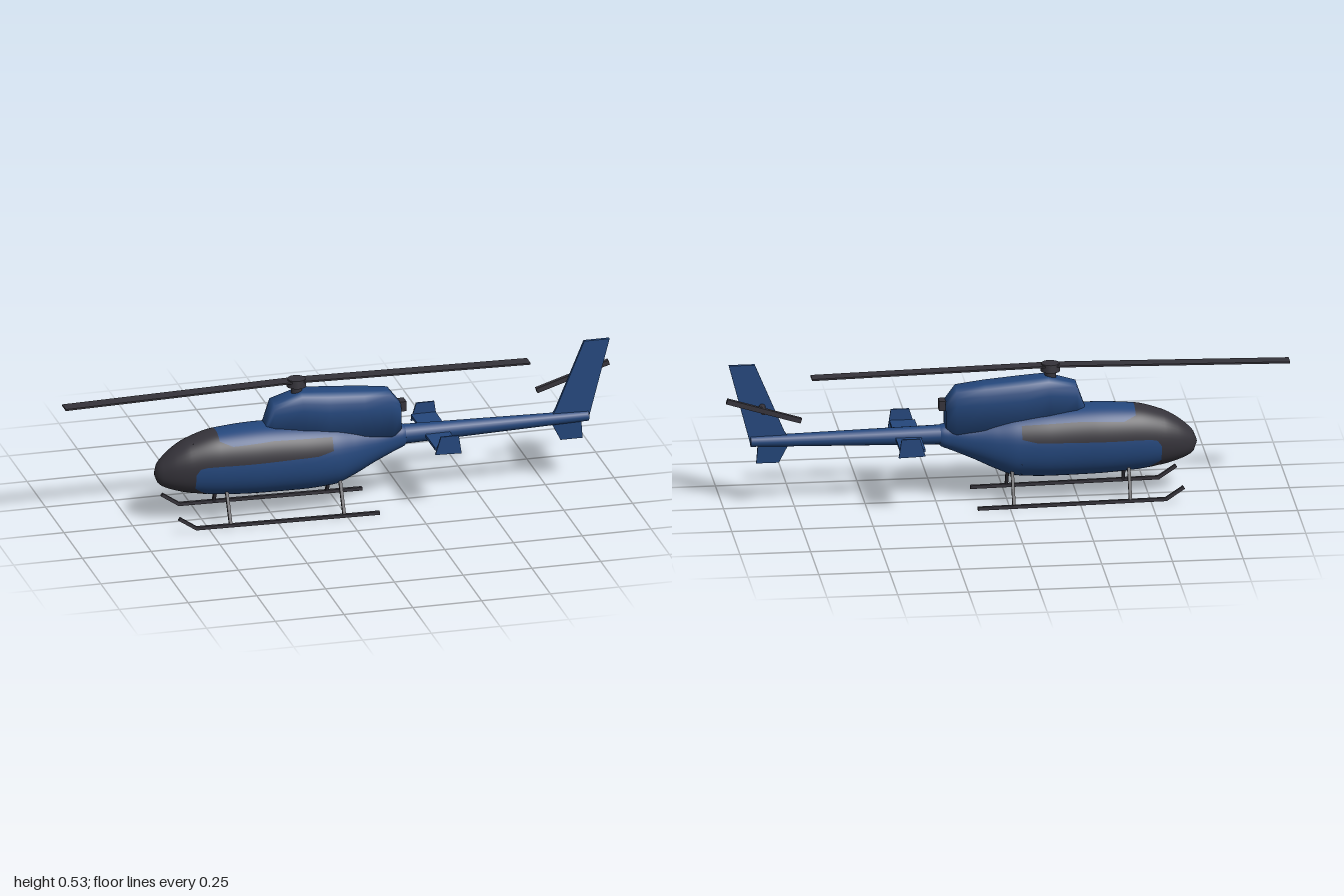
import * as THREE from 'three';

const blue = new THREE.MeshStandardMaterial({ color: 0x24477c, side: THREE.DoubleSide });
blue.name = 'blue paint';
const dark = new THREE.MeshStandardMaterial({ color: 0x35333a, side: THREE.DoubleSide });
dark.name = 'dark grey';

// Fuselage stations: x, bottom, top, half width (nose points to -x)
const HULL = [
  [-0.672, 0.185, 0.195, 0.004], [-0.665, 0.162, 0.218, 0.024], [-0.645, 0.143, 0.243, 0.042],
  [-0.6, 0.125, 0.28, 0.065], [-0.55, 0.112, 0.307, 0.08], [-0.45, 0.097, 0.334, 0.097],
  [-0.3, 0.088, 0.342, 0.107], [-0.15, 0.086, 0.336, 0.107], [-0.03, 0.092, 0.325, 0.1],
  [0.04, 0.118, 0.312, 0.086], [0.12, 0.157, 0.297, 0.064], [0.2, 0.192, 0.288, 0.044],
  [0.235, 0.207, 0.283, 0.036], [0.245, 0.22, 0.27, 0.022],
];
// Paint edges: x, top of dark belly, bottom of glass, top of glass
const PAINT = [
  [-0.672, 0, 0, 0.5], [-0.54, 0, 0, 0.5], [-0.54, 0.145, 0.2, 0.5], [-0.525, 0.133, 0.222, 0.5],
  [-0.5, 0.118, 0.228, 0.5], [-0.475, 0.09, 0.229, 0.5], [-0.45, 0.05, 0.23, 0.5],
  [-0.45, 0.05, 0.23, 0.312], [-0.405, 0, 0.23, 0.295], [-0.26, 0, 0.232, 0.302],
  [-0.1, 0, 0.235, 0.296], [-0.045, 0, 0.248, 0.293], [-0.045, 0, 0.27, 0.27], [0.245, 0, 0.245, 0.245],
];
const POWER = 0.9;
const bulge = (v) => Math.sign(v) * Math.abs(v) ** POWER;

// Smooth interpolation through the stations
function station(x) {
  let i = 0;
  while (i < HULL.length - 2 && x > HULL[i + 1][0]) i++;
  const a = HULL[i], b = HULL[i + 1], h = b[0] - a[0];
  const t = THREE.MathUtils.clamp((x - a[0]) / h, 0, 1);
  const slope = (k, c) => {
    const p = HULL[Math.max(k - 1, 0)], m = HULL[k], n = HULL[Math.min(k + 1, HULL.length - 1)];
    if (p === m) return (n[c] - m[c]) / (n[0] - m[0]);
    if (n === m) return (m[c] - p[c]) / (m[0] - p[0]);
    const d0 = (m[c] - p[c]) / (m[0] - p[0]), d1 = (n[c] - m[c]) / (n[0] - m[0]);
    return d0 * d1 <= 0 ? 0 : (2 * d0 * d1) / (d0 + d1);
  };
  return [1, 2, 3].map((c) =>
    a[c] * (1 + 2 * t) * (1 - t) ** 2 + b[c] * t * t * (3 - 2 * t) +
    h * (slope(i, c) * t * (1 - t) ** 2 + slope(i + 1, c) * t * t * (t - 1)));
}
// Point on the hull; the angle runs from belly (0) to roof (PI)
function hullPoint(x, a) {
  const [lo, hi, w] = station(x);
  return new THREE.Vector3(x, (lo + hi) / 2 - (hi - lo) / 2 * bulge(Math.cos(a)), w * bulge(Math.sin(a)));
}
function angleAt(x, y) {
  const [lo, hi] = station(x);
  const c = THREE.MathUtils.clamp(((lo + hi) / 2 - y) / ((hi - lo) / 2), -1, 1);
  return Math.acos(Math.sign(c) * Math.abs(c) ** (1 / POWER));
}

// One paint band of the hull on one side
function hullBand(band, steps, side) {
  const pos = [], nor = [], index = [], e = 0.002;
  for (let k = 0; k < PAINT.length - 1; k++) {
    const A = PAINT[k], B = PAINT[k + 1];
    if (A[0] === B[0]) continue;
    const n = Math.ceil((B[0] - A[0]) / 0.012), start = pos.length / 3;
    for (let i = 0; i <= n; i++) {
      const [x, ...ys] = A.map((v, c) => THREE.MathUtils.lerp(v, B[c], i / n));
      const edges = [0, ...ys.map((y) => angleAt(x, y)), Math.PI];
      for (let j = 0; j <= steps; j++) {
        const a = THREE.MathUtils.lerp(edges[band], edges[band + 1], j / steps);
        const p = hullPoint(x, a);
        const x0 = Math.max(x - e, -0.672), x1 = Math.min(x + e, 0.245);
        const dx = hullPoint(x1, a).sub(hullPoint(x0, a));
        const da = hullPoint(x, a + 0.02).sub(hullPoint(x, a - 0.02));
        const m = dx.cross(da).normalize();
        pos.push(p.x, p.y, p.z * side);
        nor.push(m.x, m.y, m.z * side);
        if (i < n && j < steps) {
          const q = start + i * (steps + 1) + j, r = q + steps + 1;
          if (side > 0) index.push(q, r, r + 1, q, r + 1, q + 1);
          else index.push(q, r + 1, r, q, q + 1, r + 1);
        }
      }
    }
  }
  const g = new THREE.BufferGeometry();
  g.setAttribute('position', new THREE.Float32BufferAttribute(pos, 3));
  g.setAttribute('normal', new THREE.Float32BufferAttribute(nor, 3));
  g.setIndex(index);
  return g;
}

// Engine cowling: a shouldered section lofted along x
function cowlingGeometry() {
  const rows = [
    [-0.273, 0.31, 0.345, 0.03], [-0.245, 0.3, 0.425, 0.044], [-0.145, 0.28, 0.453, 0.058],
    [-0.05, 0.25, 0.446, 0.062], [0.08, 0.25, 0.435, 0.06], [0.18, 0.25, 0.424, 0.046],
    [0.218, 0.28, 0.375, 0.034],
  ];
  const half = [[1, 0], [1, 0.65], [0.93, 0.8], [0.78, 0.93], [0.45, 1]];
  const ring = [...half, ...half.map(([z, y]) => [-z, y]).reverse()], n = ring.length;
  const pos = [], index = [];
  rows.forEach(([x, lo, hi, w], i) => ring.forEach(([z, y], j) => {
    pos.push(x, lo + (hi - lo) * y, w * z);
    const q = i * n + j, s = i * n + (j + 1) % n;
    if (i < rows.length - 1) index.push(q, q + n, s + n, q, s + n, s);
  }));
  const last = (rows.length - 1) * n;
  for (let j = 1; j < n - 1; j++) index.push(0, j, j + 1, last, last + j + 1, last + j);
  const g = new THREE.BufferGeometry();
  g.setAttribute('position', new THREE.Float32BufferAttribute(pos, 3));
  g.setIndex(index);
  g.computeVertexNormals();
  return g;
}

// Flat plate from an outline in the x-y plane, centred on z
function plate(points, thickness) {
  const shape = new THREE.Shape(points.map(([x, y]) => new THREE.Vector2(x, y)));
  return new THREE.ExtrudeGeometry(shape, { depth: thickness, bevelEnabled: false }).translate(0, 0, -thickness / 2);
}

export function createModel() {
  const model = new THREE.Group();
  model.name = 'helicopter';
  const add = (name, geometry, material, x = 0, y = 0, z = 0) => {
    const mesh = new THREE.Mesh(geometry, material);
    mesh.name = name;
    mesh.position.set(x, y, z);
    model.add(mesh);
    return mesh;
  };
  // Square bar between two points
  const bar = (name, a, b, width) => {
    const p = new THREE.Vector3(...a), q = new THREE.Vector3(...b);
    const mesh = add(name, new THREE.BoxGeometry(width, width, p.distanceTo(q)), dark);
    mesh.position.copy(p).add(q).multiplyScalar(0.5);
    mesh.lookAt(q);
  };

  // Fuselage and glazing
  const bands = [['noseBelly', 4, dark], ['lowerHull', 12, blue], ['canopy', 20, dark], ['upperHull', 12, blue]];
  for (const side of [1, -1])
    bands.forEach(([name, steps, mat], i) => add(name, hullBand(i, steps, side), mat));
  add('engineCowling', cowlingGeometry(), blue);
  add('exhaust', new THREE.BoxGeometry(0.03, 0.036, 0.04), dark, 0.225, 0.358, 0);

  // Tail boom and fins
  const boom = add('tailBoom', new THREE.CylinderGeometry(0.019, 0.035, 0.67, 20), blue, 0.57, 0.247, 0);
  boom.rotation.z = -Math.PI / 2;
  add('upperFin', plate([[0.765, 0.25], [0.905, 0.235], [0.982, 0.531], [0.89, 0.531], [0.785, 0.28]], 0.012), blue);
  const lower = plate([[0.765, 0.245], [0.805, 0.165], [0.885, 0.165], [0.878, 0.245]], 0.016);
  const lp = lower.attributes.position;
  for (let i = 0; i < lp.count; i++) if (lp.getY(i) < 0.2) lp.setZ(i, lp.getZ(i) * 0.25);
  lower.computeVertexNormals();
  add('lowerFin', lower, blue);

  // Horizontal stabilizer with end plates
  add('stabilizer', new THREE.BoxGeometry(0.09, 0.01, 0.33), blue, 0.35, 0.245, 0);
  for (const s of [1, -1])
    add('stabilizerEndPlate', plate([[0.305, 0.225], [0.4, 0.222], [0.39, 0.29], [0.325, 0.29]], 0.007), blue, 0, 0, s * 0.167);

  // Main rotor with slightly drooping blades
  add('rotorMast', new THREE.CylinderGeometry(0.02, 0.02, 0.045, 16), dark, -0.155, 0.455, 0);
  add('rotorHub', new THREE.CylinderGeometry(0.032, 0.035, 0.028, 16), dark, -0.155, 0.483, 0);
  for (const s of [1, -1]) {
    const blade = add('rotorBlade', new THREE.BoxGeometry(0.845, 0.006, 0.05), dark, -0.155 + s * 0.4225, 0.482, 0);
    blade.rotation.z = -s * 0.02;
  }

  // Tail rotor on the right side of the fin
  const tailHub = add('tailRotorHub', new THREE.CylinderGeometry(0.012, 0.012, 0.06, 12), dark, 0.865, 0.375, -0.03);
  tailHub.rotation.x = Math.PI / 2;
  const tailBlade = add('tailRotorBlade', new THREE.BoxGeometry(0.275, 0.018, 0.016), dark, 0.864, 0.378, -0.058);
  tailBlade.rotation.z = 0.3;

  // Landing skids and struts
  for (const s of [1, -1]) {
    bar('skid', [-0.552, 0.017, s * 0.119], [0.115, 0.007, s * 0.119], 0.012);
    bar('skidTip', [-0.613, 0.059, s * 0.119], [-0.549, 0.016, s * 0.119], 0.012);
    for (const x of [-0.425, -0.013]) bar('strut', [x, 0.014, s * 0.118], [x, 0.125, s * 0.059], 0.011);
  }
  return model;
}
